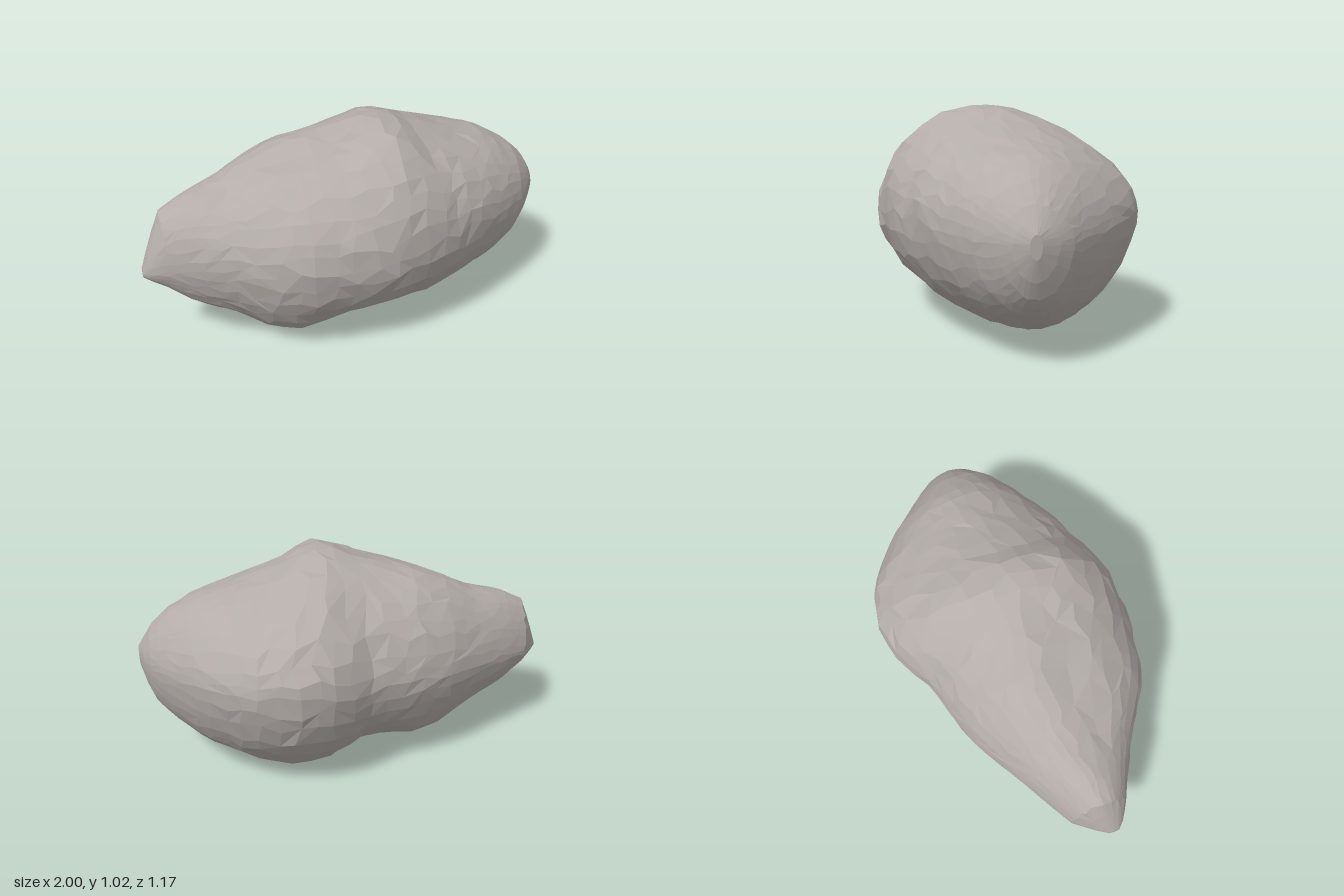
import * as THREE from 'three';

// Cross-sections along the boulder:
// x, top y, bottom y, front z, back z, z of the crest, z of the lowest point, y of the widest point
const SECTIONS = [
  [-1.00, 0.45, 0.41, 0.15, 0.10, 0.12, 0.13, 0.43],
  [-0.97, 0.53, 0.39, 0.18, 0.05, 0.11, 0.13, 0.44],
  [-0.90, 0.70, 0.34, 0.22, -0.05, 0.08, 0.12, 0.47],
  [-0.78, 0.76, 0.23, 0.28, -0.12, 0.06, 0.11, 0.49],
  [-0.62, 0.80, 0.16, 0.37, -0.21, 0.02, 0.10, 0.50],
  [-0.45, 0.88, 0.05, 0.49, -0.31, -0.01, 0.09, 0.51],
  [-0.33, 0.92, 0.015, 0.545, -0.37, -0.01, 0.08, 0.52],
  [-0.18, 0.96, 0.045, 0.565, -0.41, 0.02, 0.08, 0.52],
  [-0.04, 1.00, 0.075, 0.58, -0.45, 0.06, 0.02, 0.52],
  [0.07, 1.025, 0.04, 0.58, -0.53, 0.10, -0.06, 0.53],
  [0.17, 1.04, 0.01, 0.56, -0.57, 0.10, -0.10, 0.56],
  [0.30, 0.97, 0.01, 0.53, -0.59, 0.05, -0.11, 0.58],
  [0.50, 0.91, 0.06, 0.45, -0.55, 0.00, -0.10, 0.58],
  [0.71, 0.86, 0.13, 0.33, -0.39, -0.02, -0.05, 0.56],
  [0.85, 0.78, 0.23, 0.24, -0.24, 0.00, -0.01, 0.55],
  [0.93, 0.71, 0.31, 0.16, -0.15, 0.00, 0.00, 0.55],
  [0.98, 0.63, 0.42, 0.10, -0.06, 0.02, 0.02, 0.55],
  [1.00, 0.60, 0.50, 0.05, 0.00, 0.02, 0.02, 0.55],
];

function sectionAt(x) {
  let i = 0;
  while (i < SECTIONS.length - 2 && SECTIONS[i + 1][0] < x) i++;
  const a = SECTIONS[i], b = SECTIONS[i + 1];
  const t = THREE.MathUtils.clamp((x - a[0]) / (b[0] - a[0]), 0, 1);
  return a.map((v, k) => THREE.MathUtils.lerp(v, b[k], t));
}

function seeded(seed) {
  return () => {
    seed = (seed * 16807) % 2147483647;
    return seed / 2147483647 - 0.5;
  };
}

const curve = (v, n) => Math.sign(v) * Math.abs(v) ** (2 / n);

// Point on a section made of four quarter-superellipses
function sectionPoint(x, angle) {
  const [, top, bottom, front, back, zTop, zBottom, yMid] = sectionAt(x);
  const isFront = Math.cos(angle) > 0, isTop = Math.sin(angle) > 0;
  // The back and the underside are leaner than the front of the top
  const fullness = isFront ? (isTop ? 2 : 1.9) : 1.75;
  const c = curve(Math.cos(angle), fullness), s = curve(Math.sin(angle), fullness);
  const zAxis = isTop ? zTop : zBottom;
  const p = new THREE.Vector3(
    x,
    yMid + s * (isTop ? top - yMid : yMid - bottom),
    zAxis + c * (isFront ? front - zAxis : zAxis - back)
  );

  if (isTop) {
    // Crease in front of the upper ridge, running from the left end to the peak
    const gap = p.z - (0.14 - 0.05 * x);
    const along = THREE.MathUtils.smoothstep(x, -0.8, -0.5) * (1 - THREE.MathUtils.smoothstep(x, -0.1, 0.15));
    p.y -= 0.02 * along * Math.exp(-gap * gap / 0.003);
    // Shallow groove down the front, to the right of the peak
    const groove = x - 0.26 - 0.45 * (0.97 - p.y);
    if (isFront) p.z -= 0.02 * c * Math.exp(-groove * groove / 0.005);
  } else {
    // Slight hollow under the front, between the two lower lobes
    const hx = x - 0.1, hz = p.z - 0.2;
    p.y += 0.03 * Math.exp(-hx * hx / 0.04 - hz * hz / 0.02);
  }
  return p;
}

function boulderGeometry() {
  const rings = 32, sides = 34;
  const random = seeded(4127);
  const positions = [-1, 0.43, 0.13], index = [];

  for (let i = 0; i < rings; i++) {
    const u = i / (rings - 1);
    // Stations close up towards both ends
    const x0 = THREE.MathUtils.lerp(2 * u - 1, -Math.cos(Math.PI * u), 0.6);
    const loose = Math.sin(Math.PI * u);
    for (let j = 0; j < sides; j++) {
      const x = x0 + random() * 0.045 * loose;
      const angle = (j + random() * 0.6) / sides * Math.PI * 2;
      const p = sectionPoint(x, angle);
      const chip = 1 + random() * 0.026 * loose;
      p.y = Math.max(0, 0.52 + (p.y - 0.52) * chip);
      p.z *= chip;
      positions.push(p.x, p.y, p.z);
    }
  }
  positions.push(1, 0.55, 0.02);

  const at = (i, j) => 1 + i * sides + j % sides;
  const last = positions.length / 3 - 1;
  for (let j = 0; j < sides; j++) {
    index.push(0, at(0, j), at(0, j + 1));
    index.push(last, at(rings - 1, j + 1), at(rings - 1, j));
    for (let i = 0; i < rings - 1; i++) {
      const a = at(i, j), b = at(i + 1, j), c = at(i + 1, j + 1), d = at(i, j + 1);
      // Irregular diagonals give chipped facets
      if (random() > 0) index.push(a, b, c, a, c, d);
      else index.push(a, b, d, b, c, d);
    }
  }

  const geometry = new THREE.BufferGeometry();
  geometry.setAttribute('position', new THREE.Float32BufferAttribute(positions, 3));
  geometry.setIndex(index);
  const faceted = geometry.toNonIndexed();
  faceted.computeVertexNormals();
  return faceted;
}

export function createModel() {
  const group = new THREE.Group();
  group.name = 'rock';
  const material = new THREE.MeshStandardMaterial({ color: 0xb3aca8, flatShading: true });
  const boulder = new THREE.Mesh(boulderGeometry(), material);
  boulder.name = 'boulder';
  group.add(boulder);
  return group;
}
